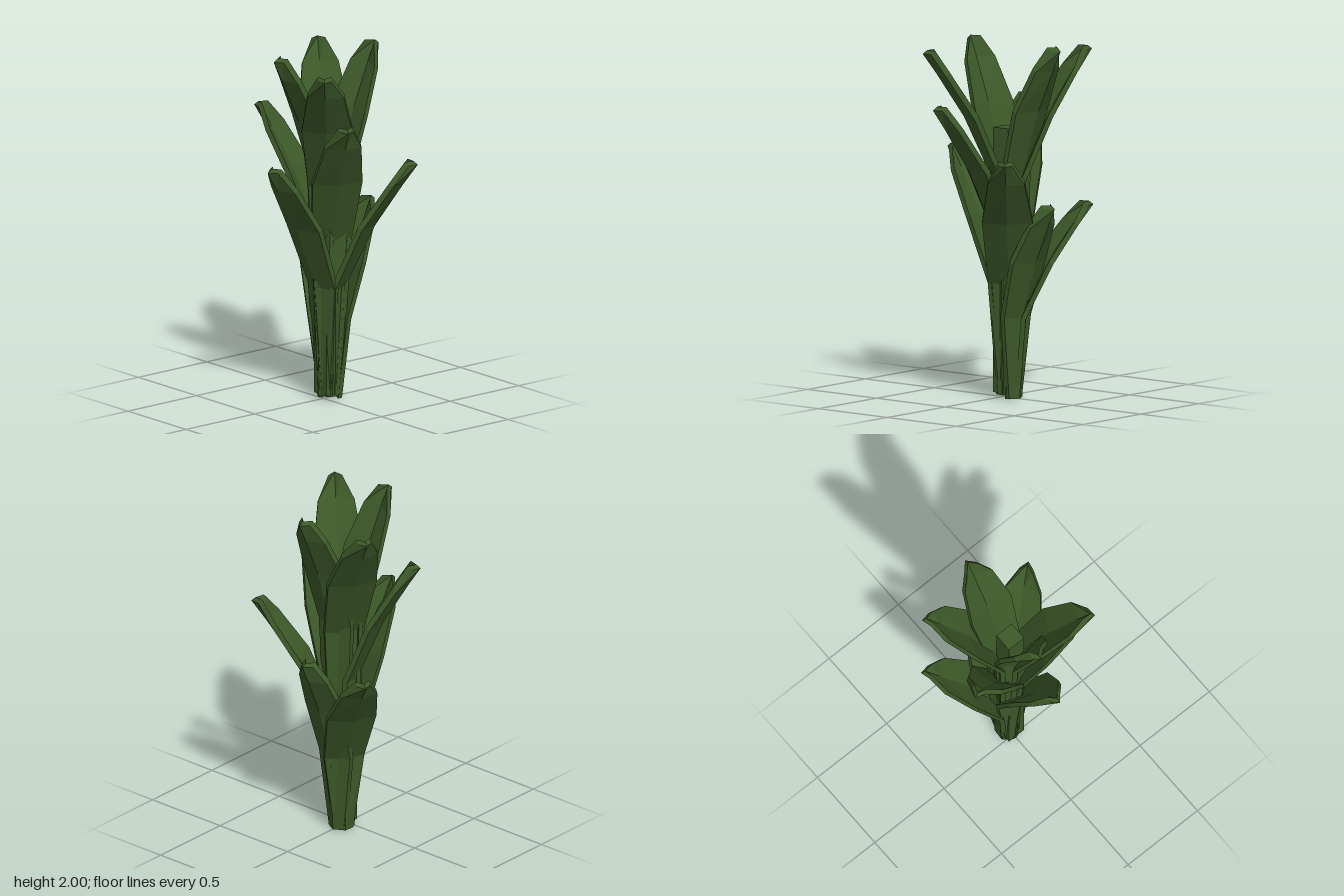
import * as THREE from 'three';

const green = new THREE.MeshStandardMaterial({ color: 0x3d5a29, flatShading: true });
const CX = 0, CZ = -0.045; // axis of the stalk bundle

// Tip x, tip y, tip z, height of the bend, height of the base
const LEAVES = [
  [-0.01, 2.0, -0.41, 1.27, 0.01],
  [-0.06, 2.0, 0.31, 1.27, 0.02],
  [-0.41, 1.96, -0.3, 1.23, 0.0],
  [0.35, 1.96, 0.29, 1.23, 0.02],
  [-0.405, 1.66, 0.16, 0.93, 0.01],
  [0.41, 1.66, 0.165, 0.93, 0.03],
  [0.4, 1.39, -0.35, 0.65, 0.03],
  [0.0, 1.39, 0.405, 0.65, 0.02],
  [-0.41, 1.085, -0.31, 0.45, 0.0],
  [0.0, 1.11, -0.375, 0.46, 0.0],
];

// Thick blade folded along its midrib: upright stalk, then bent outward to the tip
function leafGeometry([tx, ty, tz, bendY, baseY]) {
  const reach = Math.hypot(tx - CX, tz - CZ);
  const dx = (tx - CX) / reach, dz = (tz - CZ) / reach;
  const bendR = 0.095, tipY = ty - 0.02;
  const r = (f) => bendR + (reach - bendR) * f;
  const y = (f) => bendY + (tipY - bendY) * f;
  // height, midrib reach, half width, wing fold, inner offset inward and up
  const rows = [
    [baseY, 0.075, 0.055, 0.03, 0.03, 0],
    [bendY, bendR, 0.115, 0.035, 0.028, 0.008],
    [y(0.5), r(0.41), 0.142, 0.045, 0.026, 0.015],
    [y(0.84), r(0.8), 0.102, 0.04, 0.025, 0.018],
    [tipY, reach, 0.038, 0.042, 0.025, 0.02],
  ];
  const point = (out, up, side) =>
    [CX + dx * out + dz * side, up, CZ + dz * out - dx * side];
  const rings = rows.map(([h, m, w, fold, back, lift]) => [
    point(m - fold, h, -w), point(m, h, 0), point(m - fold, h, w),
    point(m - fold - back, h + lift, w), point(m - back, h + lift, 0),
    point(m - fold - back, h + lift, -w),
  ]);
  const pos = [];
  const quad = (a, b, c, d) => pos.push(...a, ...b, ...c, ...a, ...c, ...d);
  for (let i = 0; i < rings.length - 1; i++) {
    for (let j = 0; j < 6; j++) {
      const k = (j + 1) % 6;
      quad(rings[i][j], rings[i][k], rings[i + 1][k], rings[i + 1][j]);
    }
  }
  // End caps
  const a = rings[0], b = rings[rings.length - 1];
  quad(a[5], a[4], a[1], a[0]);
  quad(a[4], a[3], a[2], a[1]);
  quad(b[0], b[1], b[4], b[5]);
  quad(b[1], b[2], b[3], b[4]);
  const geometry = new THREE.BufferGeometry();
  geometry.setAttribute('position', new THREE.Float32BufferAttribute(pos, 3));
  geometry.computeVertexNormals();
  return geometry;
}

export function createModel() {
  const group = new THREE.Group();
  group.name = 'leafyPlant';

  // Square core inside the bundle
  const stem = new THREE.Mesh(new THREE.BoxGeometry(0.11, 1.49, 0.11), green);
  stem.name = 'stem';
  stem.position.set(0.003, 0.775, -0.03);
  group.add(stem);

  LEAVES.forEach((leaf, i) => {
    const mesh = new THREE.Mesh(leafGeometry(leaf), green);
    mesh.name = `leaf${i + 1}`;
    group.add(mesh);
  });
  return group;
}
